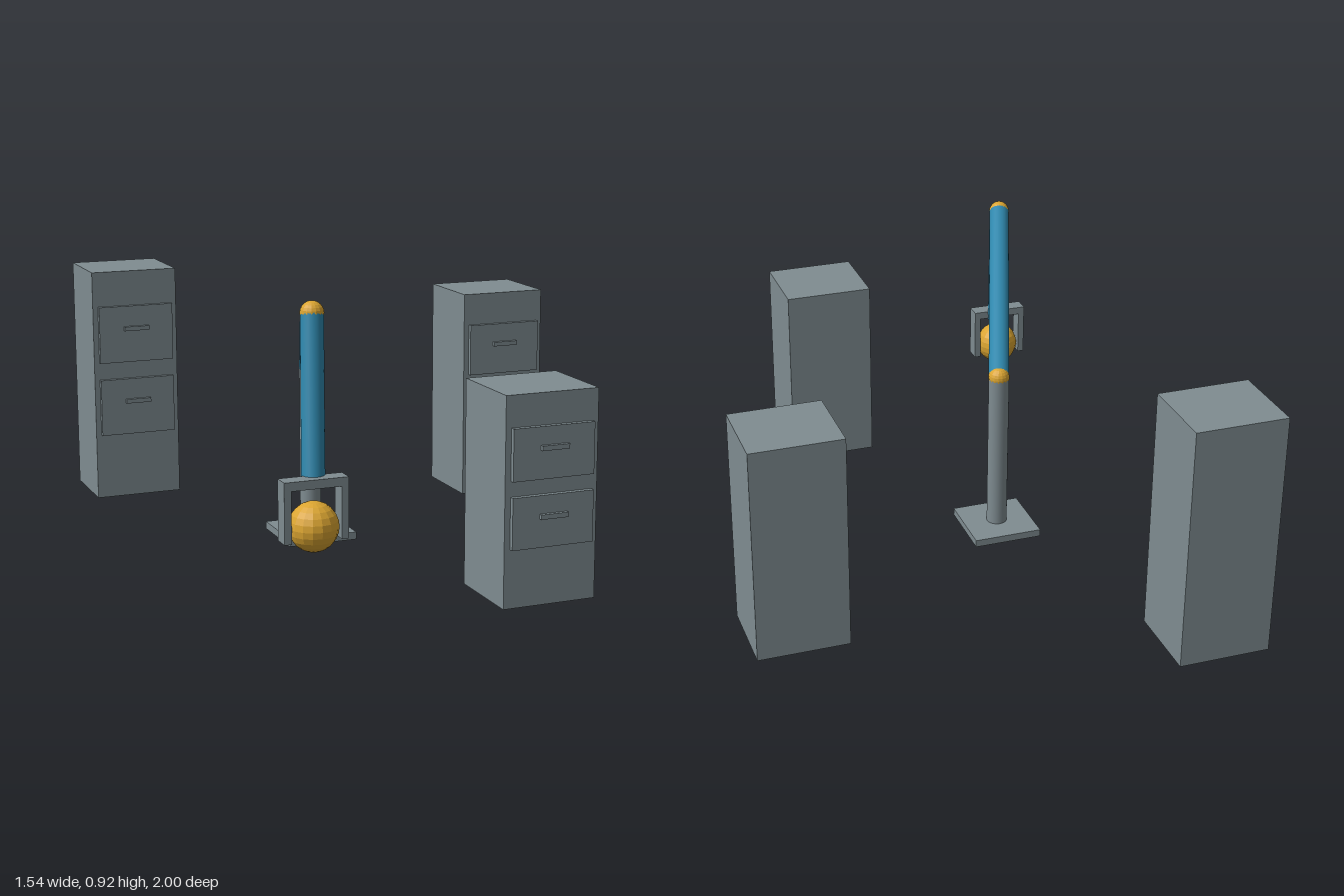
import * as THREE from 'three';

export function createModel() {
  const model = new THREE.Group();

  const grey = new THREE.MeshStandardMaterial({ color: 0x7f8c91 });
  grey.name = 'steel grey';
  const blue = new THREE.MeshStandardMaterial({ color: 0x2e86ab });
  blue.name = 'arm blue';
  const amber = new THREE.MeshStandardMaterial({ color: 0xdba531 });
  amber.name = 'amber';
  amber.flatShading = true;

  function add(parent, name, geometry, material, x = 0, y = 0, z = 0) {
    const mesh = new THREE.Mesh(geometry, material);
    mesh.name = name;
    mesh.position.set(x, y, z);
    parent.add(mesh);
    return mesh;
  }
  const box = (w, h, d) => new THREE.BoxGeometry(w, h, d);

  // Round bar between two points
  function bar(parent, name, from, to, radius, material) {
    const along = to.clone().sub(from);
    const mesh = add(parent, name, new THREE.CylinderGeometry(radius, radius, along.length(), 24), material);
    mesh.position.copy(from).add(to).multiplyScalar(0.5);
    mesh.quaternion.setFromUnitVectors(new THREE.Vector3(0, 1, 0), along.normalize());
  }

  // Filing cabinets: drawers keep their share of the height
  function cabinet(name, x, z, height) {
    const group = new THREE.Group();
    group.name = name;
    group.position.set(x, 0, z);
    const depth = 0.274;
    const front = depth / 2;
    add(group, 'cabinetBody', box(0.305, height, depth), grey, 0, height / 2, 0);
    for (const level of [0.405, 0.726]) {
      add(group, 'drawerFront', box(0.268, height * 0.246, 0.016), grey, 0, height * level, front + 0.008);
      add(group, 'drawerHandle', box(0.09, 0.015, 0.012), grey, 0, height * (level + 0.025), front + 0.022);
    }
    model.add(group);
  }
  cabinet('tallCabinet', -0.622, -0.863, 0.82);
  cabinet('middleCabinet', 0.617, -0.412, 0.733);
  cabinet('shortCabinet', 0.167, 0.835, 0.65);

  // Robot arm
  const arm = new THREE.Group();
  arm.name = 'robotArm';
  model.add(arm);
  const shoulder = new THREE.Vector3(-0.229, 0.578, 0);
  const elbow = new THREE.Vector3(-0.487, 0.885, 0.71);
  const grip = new THREE.Vector3(-0.541, 0.287, 0.856);
  const wrist = elbow.clone().lerp(grip, 0.81);

  add(arm, 'basePlate', box(0.236, 0.025, 0.236), grey, shoulder.x, 0.0125, 0);
  bar(arm, 'post', new THREE.Vector3(shoulder.x, 0.025, 0), shoulder, 0.035, grey);
  bar(arm, 'upperArm', shoulder, elbow, 0.035, blue);
  bar(arm, 'forearm', elbow, wrist, 0.035, blue);
  for (const [name, p] of [['shoulderJoint', shoulder], ['elbowJoint', elbow]]) {
    add(arm, name, new THREE.SphereGeometry(0.036, 16, 12), amber, p.x, p.y, p.z);
  }

  // Gripper holding the ball
  add(arm, 'gripperBar', box(0.198, 0.027, 0.055), grey, grip.x, 0.4185, grip.z);
  for (const side of [-1, 1]) {
    add(arm, 'gripperFinger', box(0.022, 0.157, 0.055), grey, grip.x + side * 0.088, 0.3265, grip.z);
  }
  add(arm, 'ball', new THREE.SphereGeometry(0.075, 16, 12), amber, grip.x, grip.y, grip.z);

  return model;
}
